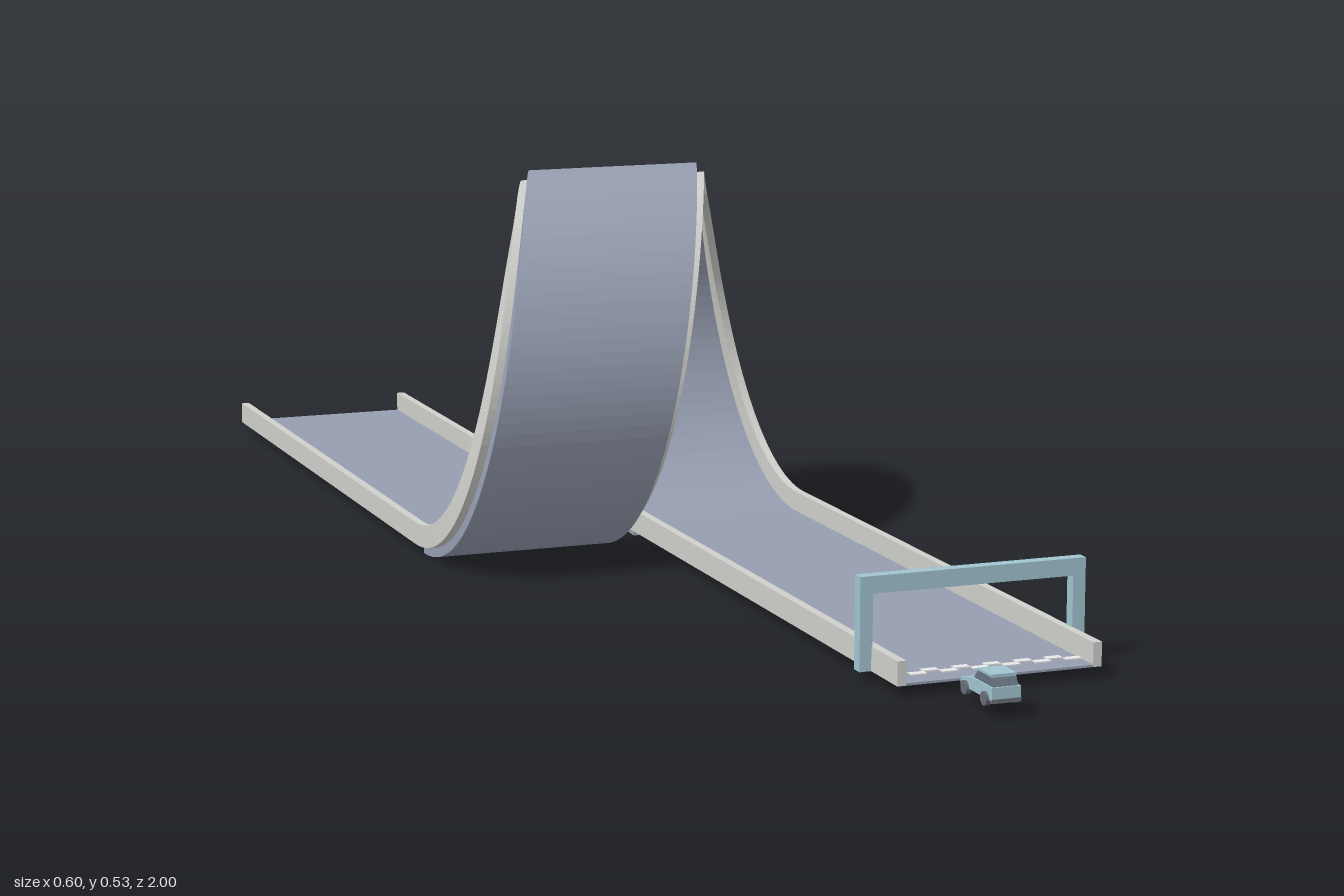
import * as THREE from 'three';

const mat = (name, color) => {
  const m = new THREE.MeshStandardMaterial({ color });
  m.name = name;
  return m;
};

// Layout of the track
const FRONT_X = 0.147, BACK_X = -0.165;   // centre lines of the two straights
const LOOP_Y = 0.2635, LOOP_Z = -0.06;    // loop centre
const GROUND = 0.0135;                    // underside of the straights
const ROAD = 0.125, RAIL = 0.0115, RAIL_H = 0.031;

// Rectangular section swept once round the loop, drifting sideways with soft ends
function loopSweep(x0, x1, r0, r1, segments = 96) {
  const section = [[x0, r0], [x1, r0], [x1, r1], [x0, r1]];
  const rings = [];
  for (let i = 0; i <= segments; i++) {
    const t = i / segments, a = t * Math.PI * 2;
    const xc = FRONT_X + (BACK_X - FRONT_X) * (t - Math.sin(a) / (Math.PI * 2));
    rings.push(section.map(([x, r]) => [xc + x, LOOP_Y - r * Math.cos(a), LOOP_Z - r * Math.sin(a)]));
  }
  const pos = [];
  const quad = (a, b, c, d) => pos.push(...a, ...b, ...c, ...a, ...c, ...d);
  for (let i = 0; i < segments; i++) {
    for (let j = 0; j < 4; j++) {
      const k = (j + 1) % 4;
      quad(rings[i][j], rings[i][k], rings[i + 1][k], rings[i + 1][j]);
    }
  }
  const s = rings[0], e = rings[segments];
  quad(s[3], s[2], s[1], s[0]);
  quad(e[0], e[1], e[2], e[3]);
  const g = new THREE.BufferGeometry();
  g.setAttribute('position', new THREE.Float32BufferAttribute(pos, 3));
  g.computeVertexNormals();
  return g;
}

export function createModel() {
  const model = new THREE.Group();
  model.name = 'loopTrack';
  const road = mat('roadGrey', 0x959db0);
  const rail = mat('railGrey', 0xcfd0cb);
  const blue = mat('paleBlue', 0xa0c4d0);
  const white = mat('white', 0xf2f2f2);
  const glass = mat('windowGrey', 0x65727e);
  const tyre = mat('tyreGrey', 0x6a6e76);

  const add = (parent, name, geometry, material) => {
    const m = new THREE.Mesh(geometry, material);
    m.name = name;
    parent.add(m);
    return m;
  };
  // Box given by its minimum and maximum corners
  const box = (parent, name, material, [x0, y0, z0], [x1, y1, z1]) => {
    const m = add(parent, name, new THREE.BoxGeometry(x1 - x0, y1 - y0, z1 - z0), material);
    m.position.set((x0 + x1) / 2, (y0 + y1) / 2, (z0 + z1) / 2);
    return m;
  };

  // Two straights with side rails
  const straight = (name, x, z0, z1) => {
    const g = new THREE.Group();
    g.name = name;
    box(g, 'straightRoad', road, [x - ROAD, GROUND, z0], [x + ROAD, GROUND + 0.003, z1]);
    for (const s of [-1, 1]) {
      const c = x + s * (ROAD + RAIL / 2);
      box(g, 'straightRail', rail, [c - RAIL / 2, GROUND, z0], [c + RAIL / 2, GROUND + RAIL_H, z1]);
    }
    model.add(g);
  };
  straight('frontStraight', FRONT_X, LOOP_Z, 0.87);
  straight('backStraight', BACK_X, -1, LOOP_Z);

  // Loop: thick road shell with rails pointing inward
  const loop = new THREE.Group();
  loop.name = 'loop';
  const R = LOOP_Y - GROUND;
  add(loop, 'loopRoad', loopSweep(-ROAD, ROAD, R - 0.003, LOOP_Y), road);
  add(loop, 'loopRailRight', loopSweep(-ROAD - RAIL, -ROAD, R - RAIL_H, R), rail);
  add(loop, 'loopRailLeft', loopSweep(ROAD, ROAD + RAIL, R - RAIL_H, R), rail);
  model.add(loop);

  // Start gate
  const gate = new THREE.Group();
  gate.name = 'startGate';
  for (const s of [-1, 1]) {
    const c = FRONT_X + s * 0.1435;
    box(gate, 'gatePost', blue, [c - 0.0085, GROUND, 0.777], [c + 0.0085, 0.111, 0.793]);
  }
  box(gate, 'gateBeam', blue, [FRONT_X - 0.152, 0.11, 0.777], [FRONT_X + 0.152, 0.132, 0.793]);
  model.add(gate);

  // Chequered start line: two staggered rows of thin plates
  const line = new THREE.Group();
  line.name = 'startLine';
  const cells = 12, w = ROAD * 2 / cells;
  for (let i = 0; i < cells; i++) {
    const x = FRONT_X - ROAD + i * w, z = 0.818 + (i % 2) * 0.011;
    box(line, 'startLineTile', white, [x, GROUND + 0.003, z], [x + w, GROUND + 0.0045, z + 0.011]);
  }
  model.add(line);

  // Small car waiting before the line, nose towards the track
  const car = new THREE.Group();
  car.name = 'car';
  const side = (hw, pts, name, material) => {
    const shape = new THREE.Shape(pts.map(([z, y]) => new THREE.Vector2(z, y)));
    const g = new THREE.ExtrudeGeometry(shape, { depth: hw * 2, bevelEnabled: false });
    g.translate(0, 0, -hw);
    g.rotateY(-Math.PI / 2);
    return add(car, name, g, material);
  };
  side(0.019, [[-0.043, 0.022], [0.043, 0.022], [0.043, 0.038], [-0.01, 0.038], [-0.043, 0.031]], 'carBody', blue);
  side(0.0165, [[-0.012, 0.037], [0.041, 0.037], [0.034, 0.049], [0.0, 0.049]], 'carWindows', glass);
  box(car, 'carRoof', blue, [-0.0165, 0.048, -0.001], [0.0165, 0.052, 0.035]);
  box(car, 'carBumper', tyre, [-0.019, 0.019, 0.04], [0.019, 0.024, 0.044]);
  for (const sx of [-1, 1]) {
    for (const z of [-0.027, 0.027]) {
      const wheel = add(car, 'carWheel', new THREE.CylinderGeometry(0.0085, 0.0085, 0.007, 16), tyre);
      wheel.rotation.z = Math.PI / 2;
      wheel.position.set(sx * 0.019, 0.022, z);
    }
  }
  car.position.set(0.092, 0, 0.956);
  model.add(car);

  return model;
}
